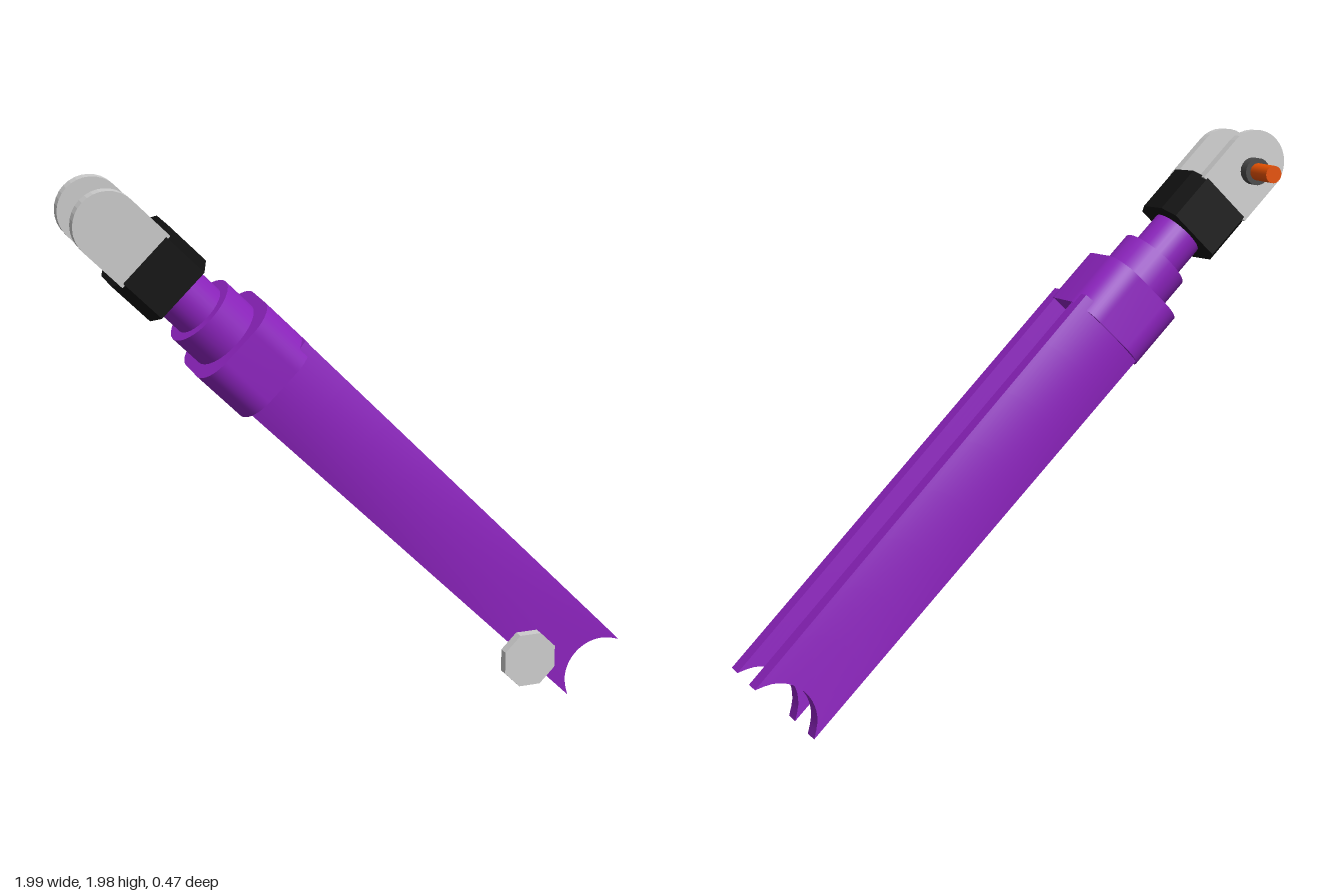
import * as THREE from 'three';
import { toCreasedNormals } from 'three/addons/utils/BufferGeometryUtils.js';

const mat = (color) => new THREE.MeshStandardMaterial({ color });
const grey = mat(0xcccccc), purple = mat(0x8e24c0), black = mat(0x111111);
const steel = mat(0x4a4a4a), orange = mat(0xe65100);

function part(parent, name, geometry, material) {
  const mesh = new THREE.Mesh(geometry, material);
  mesh.name = name;
  parent.add(mesh);
  return mesh;
}

// Cylinder running along x from a to b
function tubeX(a, b, r) {
  return new THREE.CylinderGeometry(r, r, b - a, 32).rotateZ(Math.PI / 2).translate((a + b) / 2, 0, 0);
}

// Cylinder running along z from a to b
function pinZ(a, b, r, sides) {
  return new THREE.CylinderGeometry(r, r, b - a, sides).rotateX(Math.PI / 2).translate(0, 0, (a + b) / 2);
}

// Cross-section drawn in (z, y), swept along x from a to b
function sweepX(shape, a, b, crease) {
  const geo = new THREE.ExtrudeGeometry(shape, { depth: b - a, bevelEnabled: false, curveSegments: 8 });
  return toCreasedNormals(geo.rotateY(Math.PI / 2).translate(a, 0, 0), crease);
}

function roundedRect(w, h, r) {
  const s = new THREE.Shape();
  s.absarc(w - r, h - r, r, 0, Math.PI / 2);
  s.absarc(r - w, h - r, r, Math.PI / 2, Math.PI);
  s.absarc(r - w, r - h, r, Math.PI, Math.PI * 1.5);
  s.absarc(w - r, r - h, r, Math.PI * 1.5, Math.PI * 2);
  s.closePath();
  return s;
}

// Leg: domed outside near the crown, flat at the foot, with a round notch in the end
function legGeometry(side) {
  const geo = new THREE.BoxGeometry(1, 2, 2, 8, 18, 1);
  const p = geo.attributes.position;
  for (let i = 0; i < p.count; i++) {
    const k = p.getX(i) + 0.5, v = p.getY(i);
    const y = v * THREE.MathUtils.lerp(0.15, 0.138, k);
    const end = Math.abs(y) < 0.135 ? 0.6 - Math.sqrt(0.14 ** 2 - y * y) : 0.56;
    const x = THREE.MathUtils.lerp(-1.17, end, k);
    const outside = p.getZ(i) * side > 0;
    const z = outside ? 0.148 + 0.013 * (1 - k) * (1 - 2 * v * v) : 0.075;
    p.setXYZ(i, x, y + 0.012, side * z);
  }
  return toCreasedNormals(geo, 0.5);
}

export function createModel() {
  const root = new THREE.Group();
  root.name = 'strutFork';

  // The whole strut is modelled along x, then leaned at 45 degrees
  const lean = new THREE.Group();
  lean.name = 'leaningStrut';
  lean.rotation.z = -Math.PI / 4;
  root.add(lean);
  const strut = new THREE.Group();
  strut.name = 'strut';
  strut.position.set(0, 0.685, -0.005);
  strut.rotation.set(0.045, 0.026, 0);
  lean.add(strut);

  // Crown, collar and stem
  part(strut, 'crown', sweepX(roundedRect(0.168, 0.165, 0.1), -1.34, -1.13, 0.6), purple);
  part(strut, 'collar', tubeX(-1.465, -1.33, 0.128), purple);
  part(strut, 'stem', tubeX(-1.7, -1.45, 0.094), purple);

  // Head block with bowed ends
  const block = new THREE.Shape([
    [0.133, -0.1], [0.133, 0.1], [0.07, 0.133], [-0.07, 0.133],
    [-0.133, 0.1], [-0.133, -0.1], [-0.07, -0.133], [0.07, -0.133],
  ].map(([z, y]) => new THREE.Vector2(z, y)));
  part(strut, 'headBlock', sweepX(block, -1.768, -1.592, 0.3), black);

  // Round-ended clevis plates
  const plate = new THREE.Shape();
  plate.moveTo(-1.76, -0.112);
  plate.lineTo(-1.76, 0.112);
  plate.absarc(-1.935, 0, 0.112, Math.PI / 2, Math.PI * 1.5);
  plate.closePath();
  for (const side of [1, -1]) {
    const geo = new THREE.ExtrudeGeometry(plate, { depth: 0.04, bevelEnabled: false, curveSegments: 8 });
    geo.translate(0, 0, side * 0.112 - 0.02);
    part(strut, side > 0 ? 'leftPlate' : 'rightPlate', geo, grey);
    part(strut, side > 0 ? 'leftLeg' : 'rightLeg', legGeometry(side), purple);
  }

  // Cross pin between and behind the plates
  const pin = new THREE.Group();
  pin.name = 'crossPin';
  pin.position.set(-0.87, 1.828, 0);
  root.add(pin);
  part(pin, 'spacer', pinZ(-0.015, 0.095, 0.045, 20), steel);
  part(pin, 'nut', pinZ(-0.125, -0.08, 0.047, 20), steel);
  part(pin, 'pinEnd', pinZ(-0.235, -0.12, 0.03, 20), orange);

  // Eight-sided cap beside the foot
  const cap = new THREE.CylinderGeometry(0.104, 0.104, 0.036, 8).rotateY(Math.PI / 8).rotateX(Math.PI / 2);
  const capMaterial = grey.clone();
  capMaterial.flatShading = true;
  part(root, 'footCap', cap, capMaterial).position.set(0.583, 0.2, 0.215);

  return root;
}
